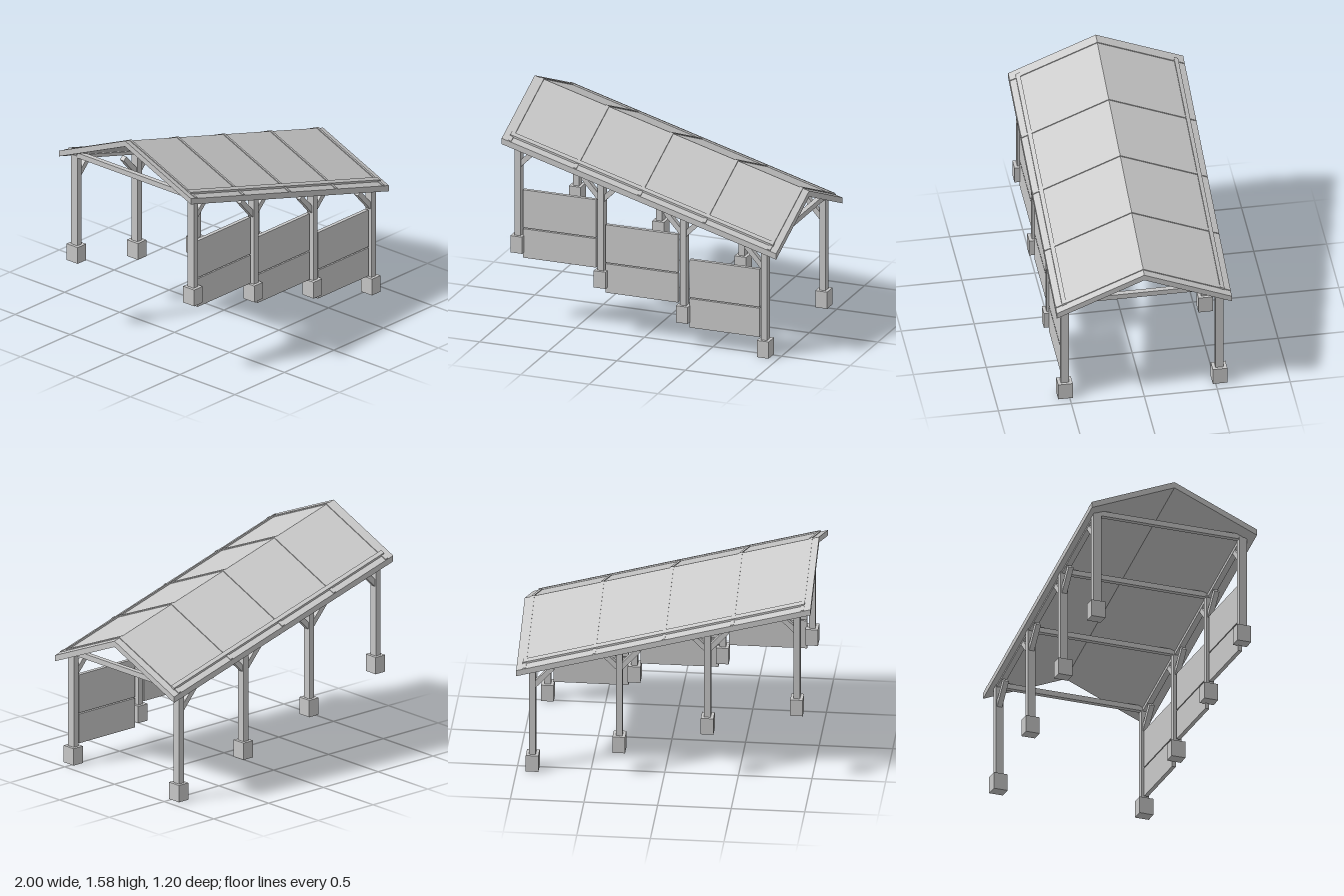
import * as THREE from 'three';

const FALL = 0.28;   // roof drop per unit of x
const PITCH = 0.417; // roof drop per unit of z
const POST_Z = 0.53;

export function createModel() {
  const model = new THREE.Group();
  model.name = 'steppedCarport';
  const grey = new THREE.MeshStandardMaterial({ color: 0xc8c8c8 });
  grey.name = 'grey';

  function add(geometry, name, parent = model) {
    const mesh = new THREE.Mesh(geometry, grey);
    mesh.name = name;
    parent.add(mesh);
    return mesh;
  }

  // Box given by its limits on each axis
  function block(name, x0, x1, y0, y1, z0, z1, parent) {
    const mesh = add(new THREE.BoxGeometry(x1 - x0, y1 - y0, z1 - z0), name, parent);
    mesh.position.set((x0 + x1) / 2, (y0 + y1) / 2, (z0 + z1) / 2);
    return mesh;
  }

  // Section of [z, y] points swept along x and sheared to follow the fall of the roof
  function sloped(name, section, x0, x1) {
    const shape = new THREE.Shape(section.map(([z, y]) => new THREE.Vector2(-z, y)));
    const geo = new THREE.ExtrudeGeometry(shape, { depth: x1 - x0, bevelEnabled: false });
    geo.rotateY(Math.PI / 2).translate(x0, 0, 0);
    const p = geo.attributes.position;
    for (let i = 0; i < p.count; i++) p.setY(i, p.getY(i) - FALL * p.getX(i));
    geo.computeVertexNormals();
    return add(geo, name);
  }

  const roofTop = (z) => 1.3 - PITCH * Math.abs(z);
  const chevron = (half, low, high) => [
    [-half, roofTop(half) + low], [0, roofTop(0) + low], [half, roofTop(half) + low],
    [half, roofTop(half) + high], [0, roofTop(0) + high], [-half, roofTop(half) + high],
  ];

  // Gabled roof slab and its raised seams
  sloped('roof', chevron(0.6, -0.042, 0), -1, 1);
  for (const x of [-0.943, -0.468, 0, 0.472, 0.945]) {
    sloped('roofSeam', chevron(0.598, -0.01, 0.006), x - 0.011, x + 0.011);
  }

  for (const side of [-1, 1]) {
    // Rail along the eave, and the beam carrying the roof on the posts
    const a = 0.528, b = 0.557;
    sloped('eaveRail', [
      [side * a, roofTop(a) - 0.01], [side * b, roofTop(b) - 0.01],
      [side * b, roofTop(b) + 0.014], [side * a, roofTop(a) + 0.014],
    ], -0.955, 0.96);
    sloped('eaveBeam', [
      [side * 0.51, 1.015], [side * 0.55, 1.015], [side * 0.55, 1.04], [side * 0.51, 1.04],
    ], -0.92, 0.91);
  }

  // Diagonal brace between two points in the plane of the posts
  function brace(x0, y0, x1, y1, z, parent) {
    const length = Math.hypot(x1 - x0, y1 - y0);
    const mesh = add(new THREE.BoxGeometry(length, 0.036, 0.036), 'brace', parent);
    mesh.position.set((x0 + x1) / 2, (y0 + y1) / 2, z);
    mesh.rotation.z = Math.atan2(y1 - y0, x1 - x0);
  }

  // Four stepped frames: footings, posts, braces and a tie beam
  const frames = [[-0.902, 0.51], [-0.295, 0.34], [0.305, 0.17], [0.894, 0]];
  frames.forEach(([x, foot], i) => {
    const frame = new THREE.Group();
    frame.name = 'postFrame';
    model.add(frame);
    const under = 1.01 - FALL * x;
    for (const z of [-POST_Z, POST_Z]) {
      block('footing', x - 0.043, x + 0.043, foot, foot + 0.12, z - 0.05, z + 0.05, frame);
      block('post', x - 0.022, x + 0.022, foot + 0.12, under + 0.03, z - 0.028, z + 0.028, frame);
      if (i > 0) brace(x - 0.01, under - 0.125, x - 0.135, under + 0.015, z, frame);
      if (i < 3) brace(x + 0.01, under - 0.125, x + 0.125, under - 0.01, z, frame);
    }
    block('tieBeam', x - 0.018, x + 0.018, under + 0.015, under + 0.052, -POST_Z, POST_Z, frame);
  });

  // Two stacked wall boards in each front bay
  const bays = [[-0.868, -0.336, 0.47], [-0.265, 0.263, 0.3], [0.346, 0.856, 0.132]];
  for (const [x0, x1, y] of bays) {
    block('lowerWallBoard', x0, x1, y, y + 0.208, 0.515, 0.543);
    block('upperWallBoard', x0, x1, y + 0.216, y + 0.488, 0.515, 0.543);
  }

  return model;
}
